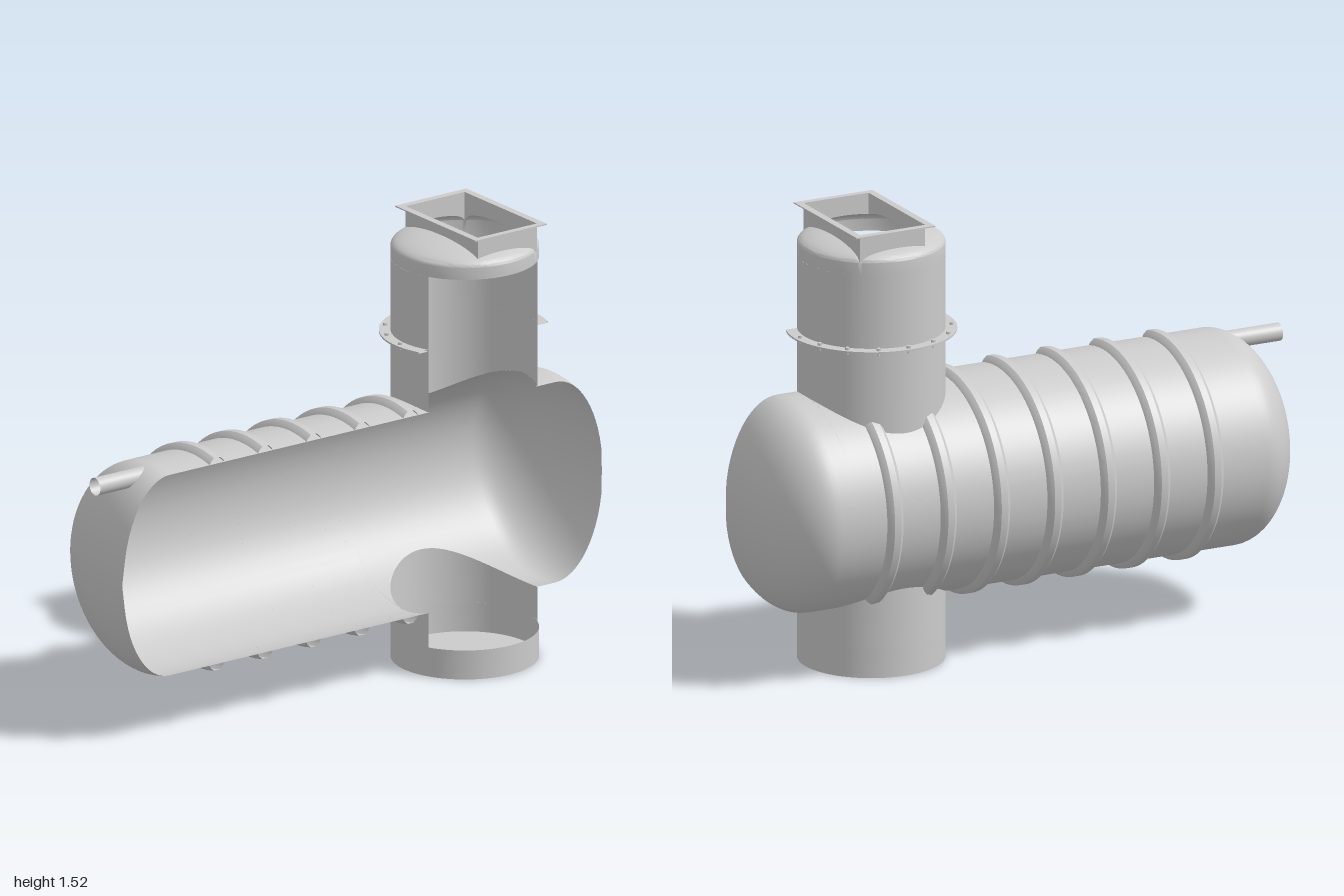
import * as THREE from 'three';
import { mergeGeometries, toCreasedNormals } from 'three/addons/utils/BufferGeometryUtils.js';

const AX = 0.066;            // x of the tank and shaft axes
const TY = 0.565, TR = 0.36; // tank axis height and radius
const SZ = -0.505, SR = 0.243; // shaft axis z and radius
const CUT = 0.099;           // section plane, measured from AX
const PI = Math.PI;

const material = new THREE.MeshStandardMaterial({ color: 0xcccccc, side: THREE.DoubleSide });
const lerp = THREE.MathUtils.lerp;

// Grid surface: fn(i, j) gives the point at row i, column j
function grid(rows, cols, fn) {
  const pos = [], index = [];
  for (let i = 0; i <= rows; i++) for (let j = 0; j <= cols; j++) pos.push(...fn(i, j));
  for (let i = 0; i < rows; i++) for (let j = 0; j < cols; j++) {
    const a = i * (cols + 1) + j, b = a + cols + 1;
    index.push(a, b, a + 1, b, b + 1, a + 1);
  }
  const g = new THREE.BufferGeometry();
  g.setAttribute('position', new THREE.Float32BufferAttribute(pos, 3));
  g.setIndex(index);
  return g;
}

function part(name, geos, crease = 0.5) {
  const mesh = new THREE.Mesh(toCreasedNormals(mergeGeometries(geos), crease), material);
  mesh.name = name;
  return mesh;
}

// Half-width of the shaft opening at a given z
const opening = (z) => Math.sqrt(Math.max(0, SR * SR - (z - SZ) ** 2));
// Angle around the tank (0 = far side) at which the offset from AX is dx
const angleAt = (dx, r) => (r < 1e-5 ? PI / 2 : Math.acos(THREE.MathUtils.clamp(-dx / r, -1, 1)));
const onTank = (phi, r, z) => [AX - r * Math.cos(phi), TY + r * Math.sin(phi), z];

// Tank shell: two elliptical heads and a cylinder, sectioned and pierced by the shaft
function tank() {
  const rows = [];
  for (let k = 0; k <= 18; k++) {
    const a = (k / 18) * PI / 2;
    rows.push([-0.8 - 0.2 * Math.cos(a), TR * Math.sin(a)]);
  }
  for (let k = 0; k <= 40; k++) rows.push([SZ - SR * Math.cos((k / 40) * PI), TR]);
  for (let k = 0; k <= 18; k++) {
    const a = (k / 18) * PI / 2;
    rows.push([0.77 + 0.195 * Math.sin(a), TR * Math.cos(a)]);
  }
  const n = rows.length - 1;
  const half = grid(n, 64, (i, j) => {
    const [z, r] = rows[i];
    return onTank(lerp(-1, 1, j / 64) * angleAt(-opening(z), r), r, z);
  });
  const strip = (side) => grid(n, 10, (i, j) => {
    const [z, r] = rows[i];
    const c = Math.min(CUT, r), w = Math.min(opening(z), c);
    const t = side > 0 ? j / 10 : 1 - j / 10;
    return onTank(side * lerp(angleAt(w, r), angleAt(c, r), t), r, z);
  });
  return part('tankShell', [half, strip(1), strip(-1)]);
}

// Stiffening rib, stopped at the shaft or at the section plane
function rib(z0) {
  const profile = [[TR, -0.03], [0.37, -0.024], [0.38, -0.012], [0.38, 0.012], [0.37, 0.024], [TR, 0.03]];
  return part('tankRib', [grid(profile.length - 1, 80, (i, j) => {
    const r = profile[i][0], z = z0 + profile[i][1], w = opening(z);
    const a = angleAt(w > 0 ? -w : CUT, r);
    return onTank(lerp(-a, a, j / 80), r, z);
  })]);
}

// Shaft wall between two heights, which may depend on the angle
function shaftWall(start, bottom, top) {
  return grid(1, 80, (i, j) => {
    const a = lerp(start, 2 * PI - start, j / 80);
    const dx = SR * Math.cos(a);
    return [AX + dx, i ? top(dx) : bottom(dx), SZ + SR * Math.sin(a)];
  });
}

function shaft(group) {
  const open = Math.acos(CUT / SR);
  const saddle = (dx) => Math.sqrt(TR * TR - dx * dx);
  group.add(part('shaftBase', [shaftWall(0, () => 0, () => 0.1)]));
  group.add(part('shaftLower', [shaftWall(open, () => 0.1, (dx) => TY - saddle(dx))]));
  group.add(part('shaftUpper', [shaftWall(open, (dx) => TY + saddle(dx), () => 1.38)]));
  const floor = new THREE.Mesh(new THREE.CircleGeometry(SR, 80).rotateX(PI / 2), material);
  floor.position.set(AX, 0, SZ);
  floor.name = 'shaftFloor';
  group.add(floor);
}

// Bolted collar halfway up the shaft
function collar(group) {
  const profile = [[SR, -0.003], [0.281, -0.003], [0.281, 0.003], [SR, 0.003], [SR, -0.003]];
  group.add(part('collar', [grid(4, 64, (i, j) => {
    const [r, y] = profile[i];
    const s = Math.acos(CUT / r), a = lerp(s, 2 * PI - s, j / 64);
    return [AX + r * Math.cos(a), 1.125 + y, SZ + r * Math.sin(a)];
  })]));
  const head = new THREE.CylinderGeometry(0.008, 0.008, 0.008, 6);
  const shank = new THREE.CylinderGeometry(0.004, 0.004, 0.026, 8);
  for (let k = 0; k <= 8; k++) {
    const a = PI / 2 + (k * PI) / 8;
    const bolt = new THREE.Group();
    bolt.name = 'collarBolt';
    const h = new THREE.Mesh(head, material), s = new THREE.Mesh(shank, material);
    h.position.y = 0.007;
    s.position.y = -0.002;
    bolt.add(h, s);
    bolt.position.set(AX + 0.263 * Math.cos(a), 1.125, SZ + 0.263 * Math.sin(a));
    group.add(bolt);
  }
}

// Domed lid with a rectangular hatch opening and its flanged frame
function lid(group) {
  const x0 = -0.13, x1 = 0.265, z0 = -0.65, z1 = -0.41;
  const corners = [[x0, z0], [x1, z0], [x1, z1], [x0, z1], [x0, z0]];
  const N = 24, rim = [];
  for (let c = 0; c < 4; c++) for (let k = 0; k < N; k++) {
    rim.push([lerp(corners[c][0], corners[c + 1][0], k / N) - AX,
      lerp(corners[c][1], corners[c + 1][1], k / N) - SZ]);
  }
  rim.push(rim[0]);
  const dome = (r) => 1.42 + 0.055 * Math.sqrt(Math.max(0, 1 - (r / SR) ** 2));
  const rows = 12;
  group.add(part('lid', [grid(rows + 1, rim.length - 1, (i, j) => {
    const [px, pz] = rim[j], len = Math.hypot(px, pz);
    const t = Math.sin((Math.min(i, rows) / rows) * PI / 2);
    const r = lerp(Math.min(len, SR), SR, t);
    return [AX + (px / len) * r, i > rows ? 1.38 : dome(r), SZ + (pz / len) * r];
  })], 0.9));
  group.add(part('hatchFrame', [grid(1, rim.length - 1, (i, j) => {
    const [px, pz] = rim[j];
    return [AX + px, i ? 1.515 : dome(Math.hypot(px, pz)), SZ + pz];
  })]));

  const rect = (C, a, b, c, d) => new C([[a, c], [b, c], [b, d], [a, d]].map((p) => new THREE.Vector2(...p)));
  const shape = rect(THREE.Shape, -0.155, 0.287, -0.675, -0.385);
  shape.holes.push(rect(THREE.Path, x0, x1, z0, z1));
  const flange = new THREE.Mesh(
    new THREE.ExtrudeGeometry(shape, { depth: 0.004, bevelEnabled: false }).rotateX(PI / 2), material);
  flange.position.y = 1.517;
  flange.name = 'hatchFlange';
  group.add(flange);
}

export function createModel() {
  const group = new THREE.Group();
  group.name = 'sectionedTank';
  group.add(tank());
  for (let k = 0; k < 7; k++) group.add(rib(-0.605 + k * 0.197));
  shaft(group);
  collar(group);
  lid(group);

  // Inlet pipe through the front head
  const pipe = new THREE.Mesh(new THREE.CylinderGeometry(0.03, 0.03, 0.23, 32, 1, true).rotateX(PI / 2), material);
  pipe.position.set(AX, 0.89, 0.885);
  pipe.name = 'inletPipe';
  group.add(pipe);
  return group;
}
